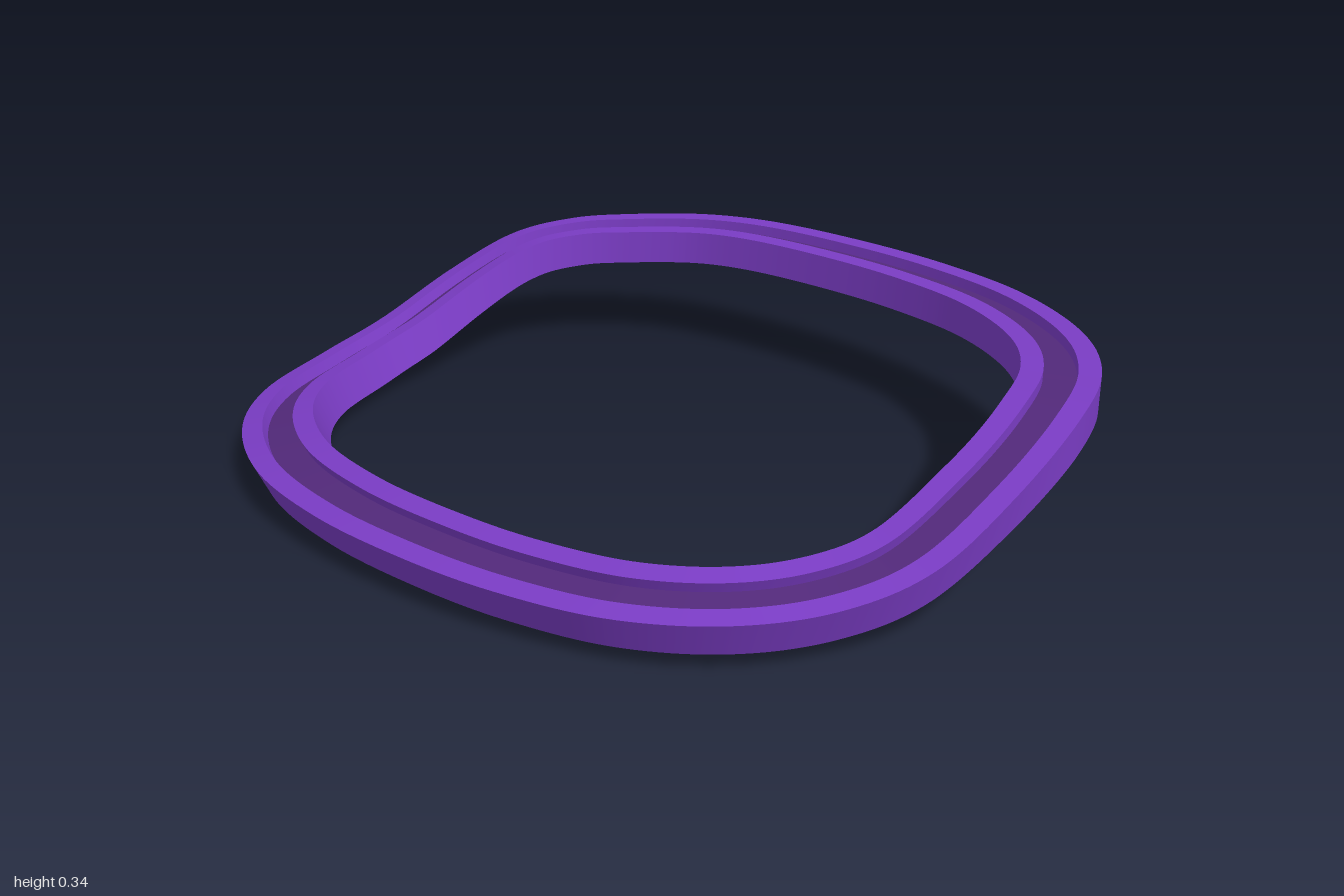
import * as THREE from 'three';

const W = 0.175, H = 0.124, DEPTH = 0.038, FLAT = 0.69; // rail section and vertical squash
const STEPS = 240;

// Stations along the outer rim: x, z, base height, outward bank (radians)
const stations = [
  [-0.2, -0.87, 0.25, 0], [0.05, -0.86, 0.25, 0], [0.33, -0.81, 0.25, 0],
  [0.6, -0.71, 0.25, 0], [0.82, -0.54, 0.25, 0], [0.95, -0.33, 0.25, 0],
  [1, -0.08, 0.24, 0], [0.975, 0.17, 0.165, 0.08], [0.915, 0.4, 0.09, 0.18],
  [0.81, 0.58, 0.06, 0.26], [0.66, 0.74, 0.058, 0.29], [0.45, 0.84, 0.055, 0.3],
  [0.2, 0.87, 0.05, 0.3], [-0.05, 0.86, 0.047, 0.3], [-0.33, 0.81, 0.04, 0.3],
  [-0.6, 0.71, 0.034, 0.3], [-0.82, 0.54, 0.026, 0.3], [-0.95, 0.33, 0.02, 0.3],
  [-1, 0.07, 0.021, 0.3], [-0.98, -0.14, 0.055, 0.28], [-0.92, -0.35, 0.135, 0.22],
  [-0.83, -0.52, 0.205, 0.13], [-0.72, -0.65, 0.23, 0.06], [-0.59, -0.75, 0.236, 0.02],
  [-0.4, -0.84, 0.244, 0],
];

// Section corners: distance inward from the outer rim, depth below the top
const section = [
  [0, 0], [0.05, 0], [0.05, DEPTH], [W - 0.05, DEPTH],
  [W - 0.05, 0], [W, 0], [W, H], [0, H],
];
const names = ['outerLip', 'outerGrooveWall', 'grooveFloor', 'innerGrooveWall',
  'innerLip', 'innerWall', 'underside', 'outerWall'];

export function createModel() {
  const group = new THREE.Group();
  group.name = 'bankedTrackRing';
  const path = new THREE.CatmullRomCurve3(
    stations.map(([x, z, y]) => new THREE.Vector3(x, y, z)), true, 'catmullrom', 0.5);
  const bank = new THREE.CatmullRomCurve3(
    stations.map((s) => new THREE.Vector3(s[3], 0, 0)), true, 'catmullrom', 0.5);

  // Place every section corner at every step of the loop
  const rings = [];
  for (let i = 0; i < STEPS; i++) {
    const t = i / STEPS;
    const p = path.getPoint(t);
    const d = path.getPoint((t + 0.002) % 1).sub(path.getPoint((t + 0.998) % 1));
    const len = Math.hypot(d.x, d.z);
    const inX = -d.z / len, inZ = d.x / len;
    const a = Math.max(0, bank.getPoint(t).x);
    const sin = Math.sin(a), cos = Math.cos(a);
    rings.push(section.map(([u, v]) => {
      const k = u * cos + v * sin;
      const y = p.y + FLAT * ((u - W / 2) * sin + (H - v) * cos);
      return [p.x + inX * k, y, p.z + inZ * k];
    }));
  }

  const purple = new THREE.MeshStandardMaterial({ color: 0x7a3cc4 });
  const dark = new THREE.MeshStandardMaterial({ color: 0x52297a });

  // One strip per section side keeps its long edges sharp
  names.forEach((name, j) => {
    const k = (j + 1) % section.length;
    const positions = [], index = [];
    for (let i = 0; i < STEPS; i++) {
      positions.push(...rings[i][j], ...rings[i][k]);
      const a = 2 * i, b = a + 1;
      const c = 2 * ((i + 1) % STEPS), e = c + 1;
      index.push(a, b, c, b, e, c);
    }
    const geometry = new THREE.BufferGeometry();
    geometry.setAttribute('position', new THREE.Float32BufferAttribute(positions, 3));
    geometry.setIndex(index);
    geometry.computeVertexNormals();
    const mesh = new THREE.Mesh(geometry, name === 'grooveFloor' ? dark : purple);
    mesh.name = name;
    group.add(mesh);
  });
  return group;
}
